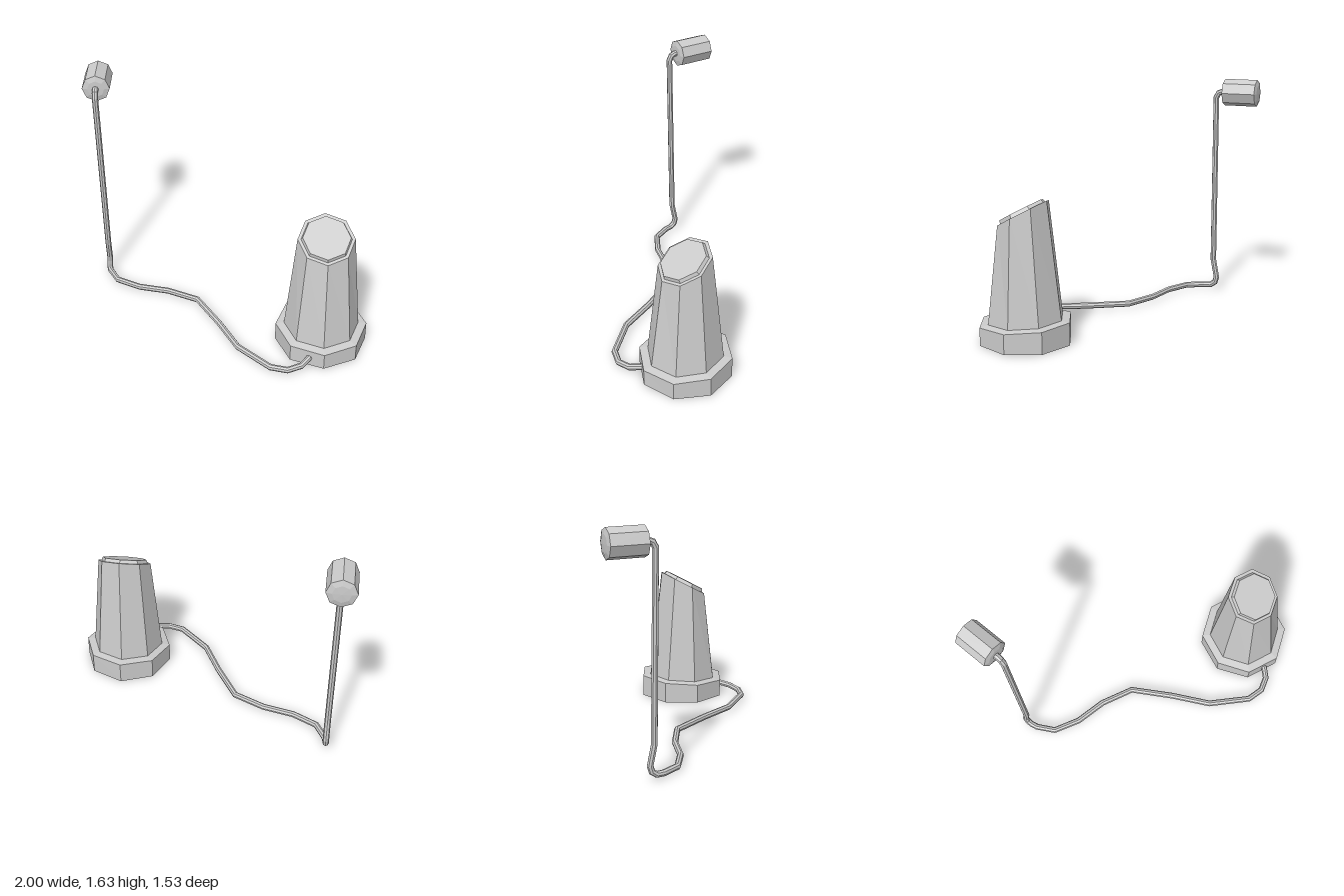
import * as THREE from 'three';

const SIDES = 8;
const material = new THREE.MeshStandardMaterial({ color: 0xcccccc, flatShading: true });

// Octagonal loft: each ring is [radius, y, z offset, forward tilt in radians], bottom to top
function loft(name, rings) {
  const geo = new THREE.LatheGeometry(rings.map(([r, y]) => new THREE.Vector2(r, y)), SIDES);
  const pos = geo.attributes.position;
  for (let i = 0; i < pos.count; i++) {
    const [, y, dz = 0, tilt = 0] = rings[i % rings.length];
    const z = pos.getZ(i);
    pos.setY(i, y - z * Math.sin(tilt));
    pos.setZ(i, dz + z * Math.cos(tilt));
  }
  geo.computeVertexNormals();
  const mesh = new THREE.Mesh(geo, material);
  mesh.name = name;
  return mesh;
}

// Polyline whose sampled points fall exactly on its corners
class Polyline extends THREE.Curve {
  constructor(points) {
    super();
    this.points = points;
  }
  getPoint(t, target = new THREE.Vector3()) {
    const last = this.points.length - 1;
    const i = Math.min(Math.floor(t * last + 1e-6), last - 1);
    return target.lerpVectors(this.points[i], this.points[i + 1], t * last - i);
  }
  getPointAt(t, target) {
    return this.getPoint(t, target);
  }
  getTangentAt(t, target = new THREE.Vector3()) {
    const p = this.points, last = p.length - 1, i = Math.round(t * last);
    const before = p[i].clone().sub(p[Math.max(i - 1, 0)]).normalize();
    const after = p[Math.min(i + 1, last)].clone().sub(p[i]).normalize();
    return target.addVectors(before, after).normalize();
  }
}

export function createModel() {
  const group = new THREE.Group();

  // Tapered stand with a slanted top
  const stand = new THREE.Group();
  stand.name = 'stand';
  stand.position.set(0.677, 0, 0.373);
  const lean = 0.06, slant = 0.505;
  stand.add(
    loft('base', [[0, 0], [0.32, 0], [0.32, 0.137, 0, lean], [0.255, 0.148, 0, lean], [0, 0.148, 0, lean]]),
    loft('body', [[0.262, 0.14, 0, lean], [0.194, 0.868, 0.005, slant], [0, 0.868, 0.005, slant]]),
    loft('topPanel', [[0.172, 0.866, 0.006, slant], [0.162, 0.888, 0.019, slant], [0, 0.888, 0.019, slant]])
  );
  group.add(stand);

  // Cable: out of the base, along the ground, up to the plug
  const path = new Polyline([
    [0.6, 0.065, 0.61], [0.57, 0.06, 0.66], [0.52, 0.047, 0.715], [0.425, 0.035, 0.745],
    [0.31, 0.035, 0.715], [0.09, 0.035, 0.505], [-0.04, 0.035, 0.25], [-0.2, 0.035, -0.02],
    [-0.42, 0.035, -0.125], [-0.64, 0.035, -0.175], [-0.81, 0.035, -0.265], [-0.875, 0.035, -0.385],
    [-0.885, 0.037, -0.435], [-0.886, 0.06, -0.468], [-0.886, 0.1, -0.48], [-0.887, 0.24, -0.452],
    [-0.903, 1.485, -0.445], [-0.903, 1.52, -0.463], [-0.903, 1.53, -0.49], [-0.903, 1.53, -0.53]
  ].map((p) => new THREE.Vector3(...p)));
  const cable = new THREE.Mesh(
    new THREE.TubeGeometry(path, path.points.length - 1, 0.022, 8), material);
  cable.name = 'cable';
  group.add(cable);

  // Octagonal plug lying along z, with shallow domed ends
  const plug = loft('plug', [[0, 0], [0.06, 0.002], [0.098, 0.012], [0.098, 0.255], [0.06, 0.265], [0, 0.268]]);
  plug.rotation.x = -Math.PI / 2;
  plug.position.set(-0.902, 1.528, -0.5);
  group.add(plug);

  return group;
}
